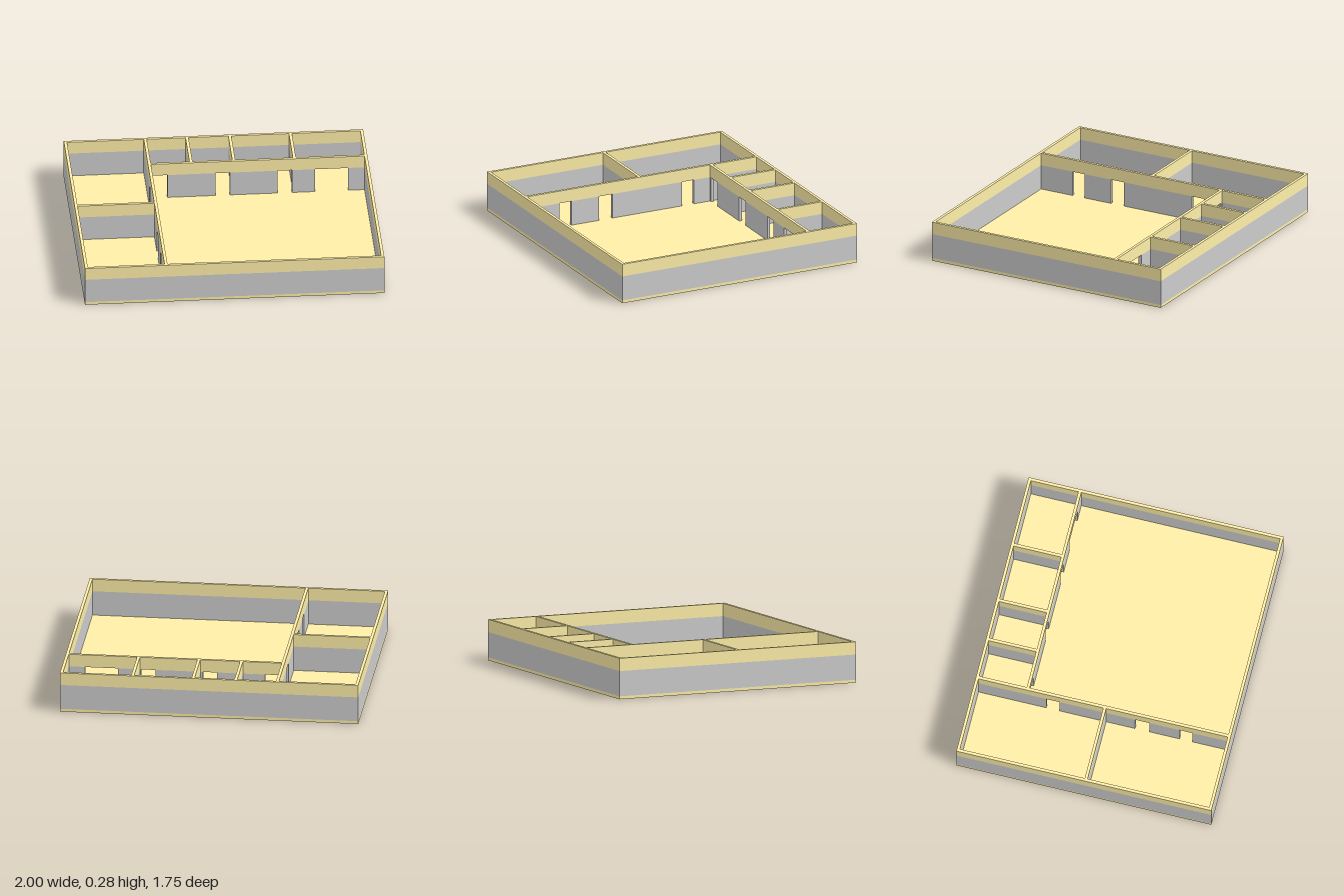
import * as THREE from 'three';

const W = 1, D = 0.875, T = 0.02;            // half width, half depth, wall thickness
const FLOOR = 0.02, LINTEL = 0.19, TOP = 0.276;

const tan = new THREE.MeshStandardMaterial({ color: 0xfeeea8 });
const grey = new THREE.MeshStandardMaterial({ color: 0xcccccc });

// Box given by its minimum and maximum corners
function block(name, material, x0, x1, y0, y1, z0, z1) {
  const mesh = new THREE.Mesh(new THREE.BoxGeometry(x1 - x0, y1 - y0, z1 - z0), material);
  mesh.position.set((x0 + x1) / 2, (y0 + y1) / 2, (z0 + z1) / 2);
  mesh.name = name;
  return mesh;
}

// Rectangular plan with rectangular openings, raised from y0 to y1
function planSlab(name, material, rooms, y0, y1) {
  // Outline runs counter-clockwise, openings clockwise, so all sides face outwards
  const shape = new THREE.Shape();
  shape.moveTo(-W, -D).lineTo(W, -D).lineTo(W, D).lineTo(-W, D).closePath();
  for (const [x0, x1, z0, z1] of rooms) {
    const hole = new THREE.Path();
    hole.moveTo(x0, -z0).lineTo(x1, -z0).lineTo(x1, -z1).lineTo(x0, -z1).closePath();
    shape.holes.push(hole);
  }
  const geometry = new THREE.ExtrudeGeometry(shape, { depth: y1 - y0, bevelEnabled: false });
  geometry.rotateX(-Math.PI / 2);
  const mesh = new THREE.Mesh(geometry, material);
  mesh.position.y = y0;
  mesh.name = name;
  return mesh;
}

// Straight inner wall split by doorways; `along` is the axis it runs on
function innerWall(name, along, side, from, to, doors = []) {
  const group = new THREE.Group();
  group.name = name;
  const ends = [from, ...doors.flat(), to];
  for (let i = 0; i < ends.length; i += 2) {
    const [a, b] = [ends[i], ends[i + 1]];
    group.add(along === 'x'
      ? block('wallPanel', grey, a, b, FLOOR, LINTEL, side, side + T)
      : block('wallPanel', grey, side, side + T, FLOOR, LINTEL, a, b));
  }
  return group;
}

export function createModel() {
  const model = new THREE.Group();
  model.name = 'floorPlan';

  const xi = W - T, zi = D - T;              // inner faces of the outer walls
  const sideX = -0.467, backZ = -0.529, divZ = 0.001;
  const partitions = [-0.188, 0.098, 0.503];

  // Floor and outer walls
  model.add(block('floor', tan, -W, W, 0, FLOOR, -D, D));
  model.add(planSlab('outerWalls', grey, [[-xi, xi, -zi, zi]], FLOOR, LINTEL));

  // Inner walls with doorways
  model.add(innerWall('sideWall', 'z', sideX, -zi, zi, [[-0.39, -0.3], [0.22, 0.32], [0.525, 0.615]]));
  model.add(innerWall('sideRoomDivider', 'x', divZ, -xi, sideX));
  model.add(innerWall('backRoomsWall', 'x', backZ, sideX + T, xi,
    [[-0.432, -0.337], [-0.015, 0.08], [0.4, 0.495], [0.65, 0.87]]));
  for (const x of partitions) model.add(innerWall('backRoomPartition', 'z', x, -zi, backZ));

  // Continuous upper band over all walls and doorways
  const rooms = [
    [-xi, sideX, -zi, divZ],
    [-xi, sideX, divZ + T, zi],
    [sideX + T, xi, backZ + T, zi],
  ];
  const starts = [sideX, ...partitions];
  const stops = [...partitions, xi];
  starts.forEach((x, i) => rooms.push([x + T, stops[i], -zi, backZ]));
  model.add(planSlab('upperWallBand', tan, rooms, LINTEL, TOP));

  return model;
}
